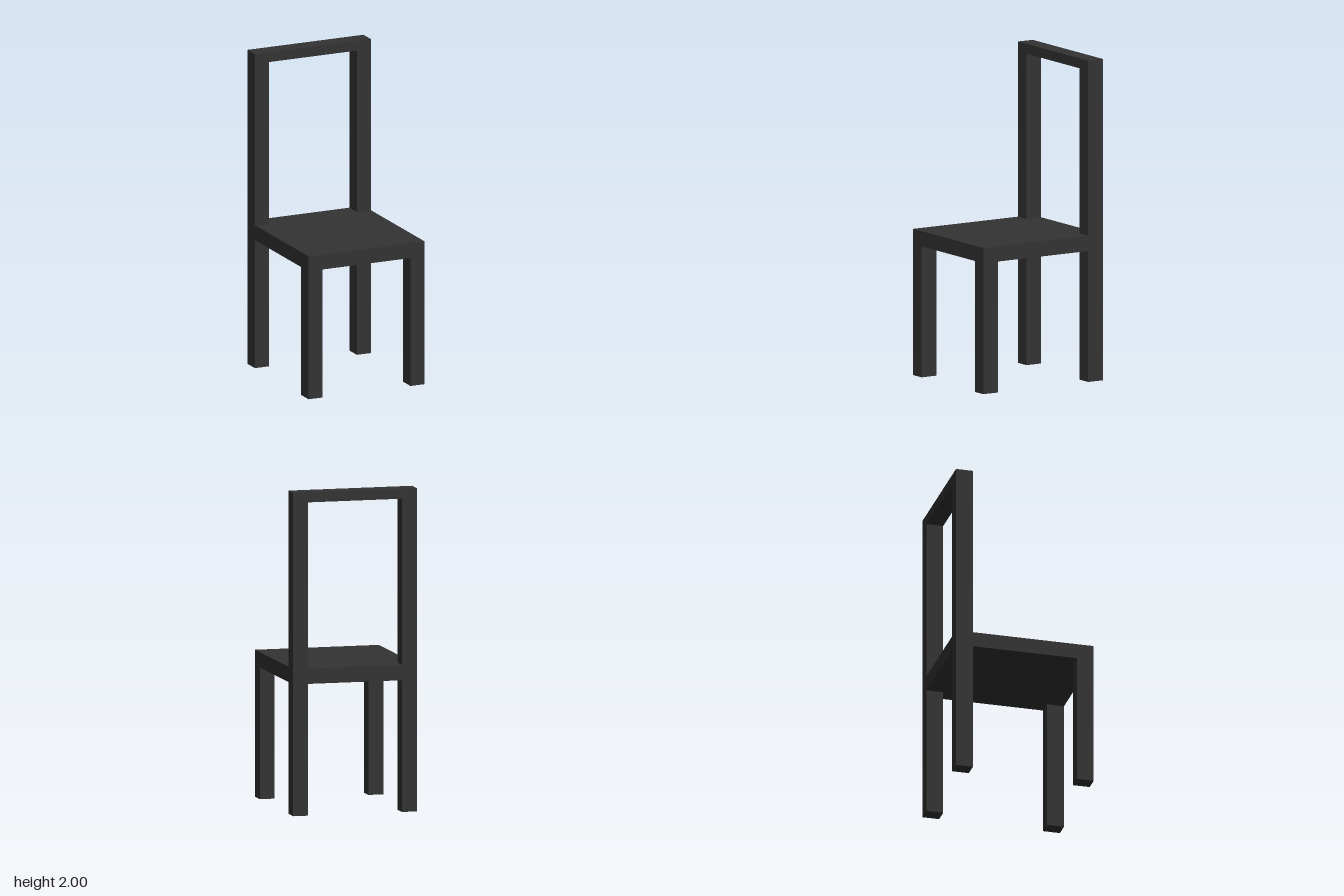
import * as THREE from 'three';

export function createModel() {
  const model = new THREE.Group();
  model.name = 'chair';

  const charcoal = new THREE.MeshStandardMaterial({ color: 0x333333 });
  charcoal.name = 'charcoal';

  // Main dimensions
  const halfW = 0.393, halfD = 0.437;
  const postW = 0.095, postD = 0.107;
  const seatBottom = 0.815, seatTop = 0.91;
  const railBottom = 1.938, top = 2;
  const legX = halfW - postW / 2, legZ = halfD - postD / 2;

  // Box standing between two heights
  function block(name, w, d, y0, y1, x, z) {
    const mesh = new THREE.Mesh(new THREE.BoxGeometry(w, y1 - y0, d), charcoal);
    mesh.name = name;
    mesh.position.set(x, (y0 + y1) / 2, z);
    model.add(mesh);
  }

  // Seat slab
  block('seat', halfW * 2, halfD * 2, seatBottom, seatTop, 0, 0);

  // Legs and back posts, mirrored left and right
  for (const [side, s] of [['left', 1], ['right', -1]]) {
    block(side + 'FrontLeg', postW, postD, 0, seatBottom, s * legX, legZ);
    block(side + 'BackLeg', postW, postD, 0, seatBottom, s * legX, -legZ);
    block(side + 'BackPost', postW, postD, seatTop, railBottom, s * legX, -legZ);
  }

  // Top rail across both posts
  block('topRail', halfW * 2, postD, railBottom, top, 0, -legZ);

  return model;
}
